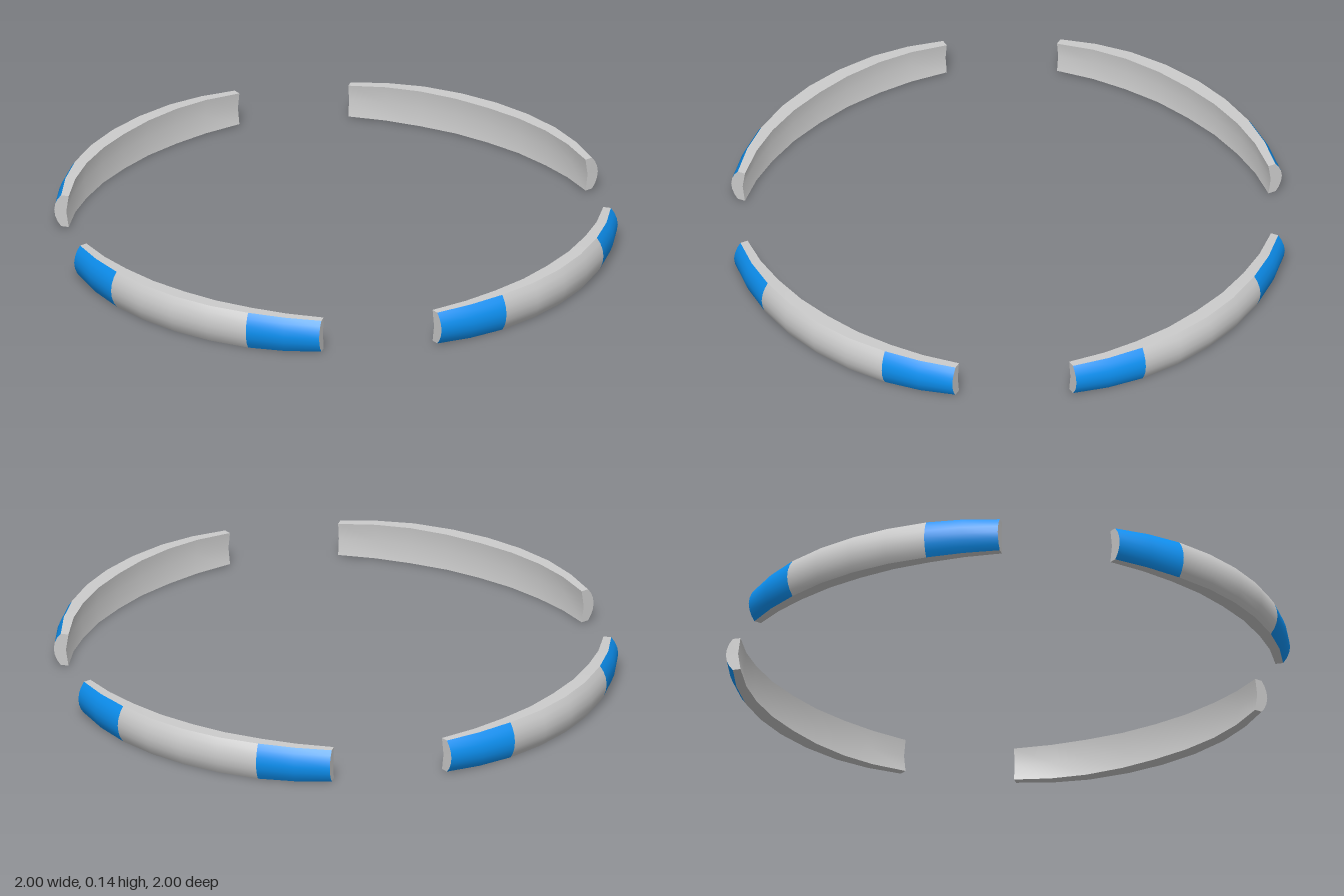
import * as THREE from 'three';

const grey = new THREE.MeshStandardMaterial({ color: 0xcccccc });
const blue = new THREE.MeshStandardMaterial({ color: 0x0d92f4 });
const MID_Y = 0.07;

// Stations along one arc, in degrees from the front axis
const ANGLES = [12, 20, 27.9, 36.5, 45, 53.5, 62.1, 70, 78];
const LAST = ANGLES.length - 1;

// Closed cross-section at station i: inner top, bulging outer side, inner bottom, inner hollow
function section(i) {
  const edge = Math.min(i, LAST - i);               // stations away from the nearest tip
  const inner = [0.971, 0.963, 0.955, 0.949, 0.945][edge];
  const half = [0.062, 0.067, 0.07, 0.07, 0.07][edge];
  const profile = [
    [inner, 1], [0.999, 1],
    [1.012, 0.72], [1.021, 0.38], [1.0245, 0], [1.021, -0.38], [1.012, -0.72],
    [0.999, -1], [inner, -1], [inner + 0.009, 0],
  ];
  return profile.map(([r, h]) => {
    // The tips are cut slightly askew
    const skew = edge ? 0 : (r - 0.978) * 15 * (i ? -1 : 1);
    const a = THREE.MathUtils.degToRad(ANGLES[i] + skew);
    return [r * Math.sin(a), MID_Y + h * half, r * Math.cos(a)];
  });
}

function toGeometry(points, index) {
  const g = new THREE.BufferGeometry();
  g.setAttribute('position', new THREE.Float32BufferAttribute(points.flat(), 3));
  g.setIndex(index);
  g.computeVertexNormals();
  return g;
}

// Smooth strip along stations from..to through the chosen cross-section corners
function strip(corners, from = 0, to = LAST) {
  const n = corners.length, points = [], index = [];
  for (let i = from; i <= to; i++) {
    const s = section(i);
    corners.forEach((c) => points.push(s[c]));
  }
  for (let i = 0; i < to - from; i++) {
    for (let j = 0; j < n - 1; j++) {
      const a = i * n + j, b = a + n;
      index.push(a, a + 1, b + 1, a, b + 1, b);
    }
  }
  return toGeometry(points, index);
}

// Flat tip, fanned from the inner hollow
function cap(i) {
  const points = section(i), hub = points.length - 1, index = [];
  for (let j = 0; j < hub - 1; j++) {
    if (i) index.push(hub, j, j + 1);
    else index.push(hub, j + 1, j);
  }
  return toGeometry(points, index);
}

export function createModel() {
  const model = new THREE.Group();
  model.name = 'segmentedRing';

  const outer = [1, 2, 3, 4, 5, 6, 7];
  const parts = [
    ['topFace', strip([0, 1]), grey],
    ['bottomFace', strip([7, 8]), grey],
    ['innerWall', strip([8, 9, 0]), grey],
    ['outerBand', strip(outer, 2, LAST - 2), grey],
    ['startStripe', strip(outer, 0, 2), blue],
    ['endStripe', strip(outer, LAST - 2, LAST), blue],
    ['startCap', cap(0), grey],
    ['endCap', cap(LAST), grey],
  ];

  // Four equal arcs, one per quadrant
  ['frontLeft', 'backLeft', 'backRight', 'frontRight'].forEach((place, k) => {
    const arc = new THREE.Group();
    arc.name = place + 'Arc';
    arc.rotation.y = k * Math.PI / 2;
    for (const [name, geometry, material] of parts) {
      const mesh = new THREE.Mesh(geometry, material);
      mesh.name = name;
      arc.add(mesh);
    }
    model.add(arc);
  });
  return model;
}
